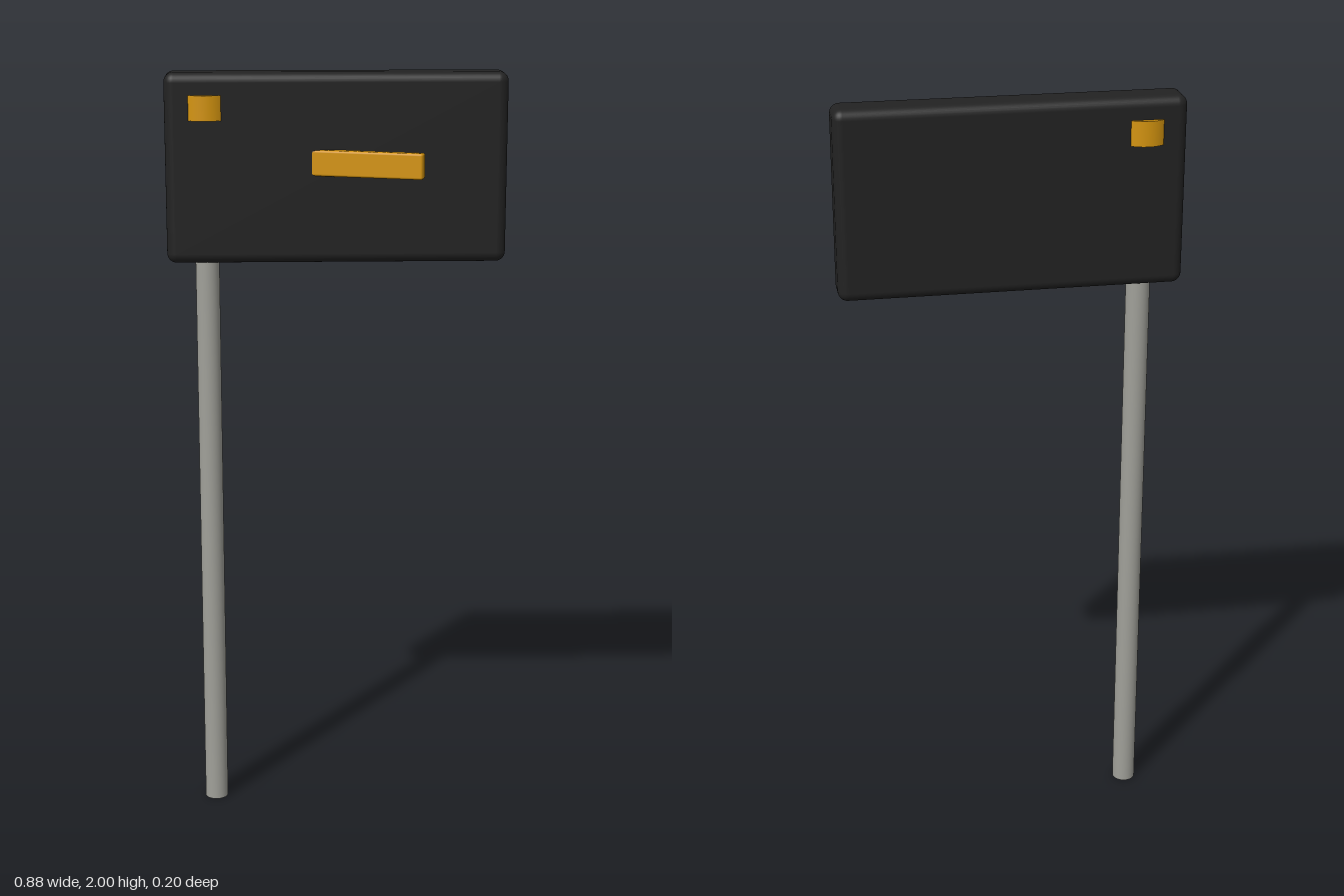
import * as THREE from 'three';
import { RoundedBoxGeometry } from 'three/addons/geometries/RoundedBoxGeometry.js';

function material(name, color) {
  const m = new THREE.MeshStandardMaterial({ color });
  m.name = name;
  return m;
}

export function createModel() {
  const group = new THREE.Group();
  const black = material('black', 0x222222);
  const gold = material('gold', 0xd4940f);
  const grey = material('grey', 0xa0a099);

  function add(name, geometry, mat, x, y, z) {
    const mesh = new THREE.Mesh(geometry, mat);
    mesh.name = name;
    mesh.position.set(x, y, z);
    group.add(mesh);
    return mesh;
  }

  const postX = -0.335, midZ = -0.038;

  // Rounded slab at the top
  add('board', new RoundedBoxGeometry(0.876, 0.486, 0.102, 4, 0.025), black, 0, 1.757, midZ);

  // Round post running up into the slab
  add('post', new THREE.CylinderGeometry(0.031, 0.031, 1.6, 32), grey, postX, 0.8, midZ + 0.004);

  // Disc that pokes through both faces of the slab
  add('pivotDisc', new THREE.CylinderGeometry(0.066, 0.066, 0.064, 32), gold, postX, 1.912, midZ);

  // Angled lever, its inner end buried in the slab
  const angle = 0.31, length = 0.42;
  const lever = add('lever', new RoundedBoxGeometry(length, 0.066, 0.03, 3, 0.006), gold,
    0.217 - Math.cos(angle) * length / 2, 1.772, 0.087 - Math.sin(angle) * length / 2);
  lever.rotation.y = -angle;

  return group;
}
